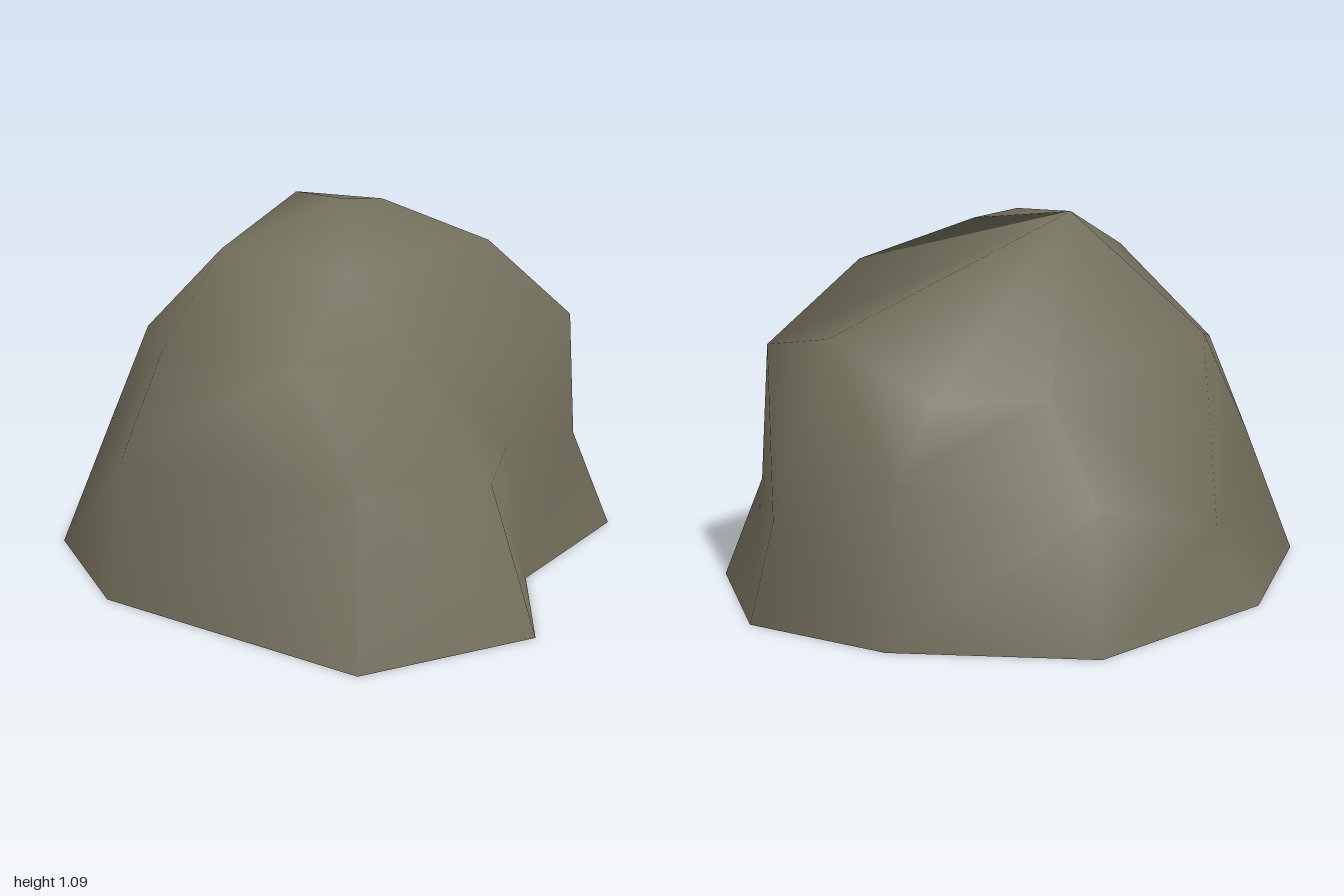
import * as THREE from 'three';
import { mergeVertices } from 'three/addons/utils/BufferGeometryUtils.js';

// Points of the crown, shared by several rings
const front = [-0.05, 1.085, -0.1];
const side = [0.14, 1.07, -0.2];
const peak = [-0.1, 1.09, -0.34];
const brow = [-0.1, 0.9, 0.13];
const hollow = [0.05, 0.62, 0.28];

// Rings of ten points from the ground up, starting at the front spur
const base = [
  [-0.46, 0, 1], [0.075, 0, 0.945], [0.29, 0, 0.51], [0.82, 0, 0.12], [0.89, 0, -0.35],
  [0.64, 0, -0.71], [0.16, 0, -1], [-0.45, 0, -0.825], [-0.88, 0, -0.4], [-0.89, 0, 0.2],
];
const lower = [
  [-0.37, 0.39, 0.78], [0.03, 0.38, 0.77], [0.26, 0.38, 0.43], [0.72, 0.3, 0.05], [0.82, 0.28, -0.36],
  [0.58, 0.43, -0.64], [0.12, 0.36, -0.91], [-0.36, 0.22, -0.74], [-0.72, 0.4, -0.36], [-0.83, 0.4, 0.18],
];
const middle = [
  [-0.36, 0.65, 0.3], hollow, hollow, [0.69, 0.7, 0.06], [0.65, 0.77, -0.35],
  [0.44, 0.62, -0.57], [0.12, 0.61, -0.64], [-0.4, 0.75, -0.59], [-0.61, 0.69, -0.31], [-0.67, 0.68, 0.06],
];
const upper = [
  brow, brow, [0.42, 0.945, 0], peak, peak,
  peak, peak, peak, peak, [-0.46, 0.955, -0.02],
];
const summit = [front, front, side, peak, peak, peak, peak, peak, peak, peak];

const distance = (a, b) => Math.hypot(a[0] - b[0], a[1] - b[1], a[2] - b[2]);

// Joins the rings with triangles, splitting each quad along its shorter diagonal
function skin(rings) {
  const positions = [];
  const triangle = (a, b, c) => {
    if (a !== b && b !== c && c !== a) positions.push(...a, ...b, ...c);
  };
  for (let r = 0; r < rings.length - 1; r++) {
    const n = rings[r].length;
    for (let i = 0; i < n; i++) {
      const j = (i + 1) % n;
      const a = rings[r][i], b = rings[r][j], c = rings[r + 1][j], d = rings[r + 1][i];
      if (distance(a, c) < distance(b, d)) {
        triangle(a, b, c);
        triangle(a, c, d);
      } else {
        triangle(a, b, d);
        triangle(b, c, d);
      }
    }
  }
  triangle(front, side, peak);
  const geometry = new THREE.BufferGeometry();
  geometry.setAttribute('position', new THREE.Float32BufferAttribute(positions, 3));
  const merged = mergeVertices(geometry);
  merged.computeVertexNormals();
  return merged;
}

export function createModel() {
  const group = new THREE.Group();
  group.name = 'boulder';

  // Open-bottomed rock shell
  const stone = new THREE.MeshStandardMaterial({ color: 0x706c5a, side: THREE.DoubleSide });
  stone.name = 'stone';
  const rock = new THREE.Mesh(skin([base, lower, middle, upper, summit]), stone);
  rock.name = 'rock';
  group.add(rock);
  return group;
}
